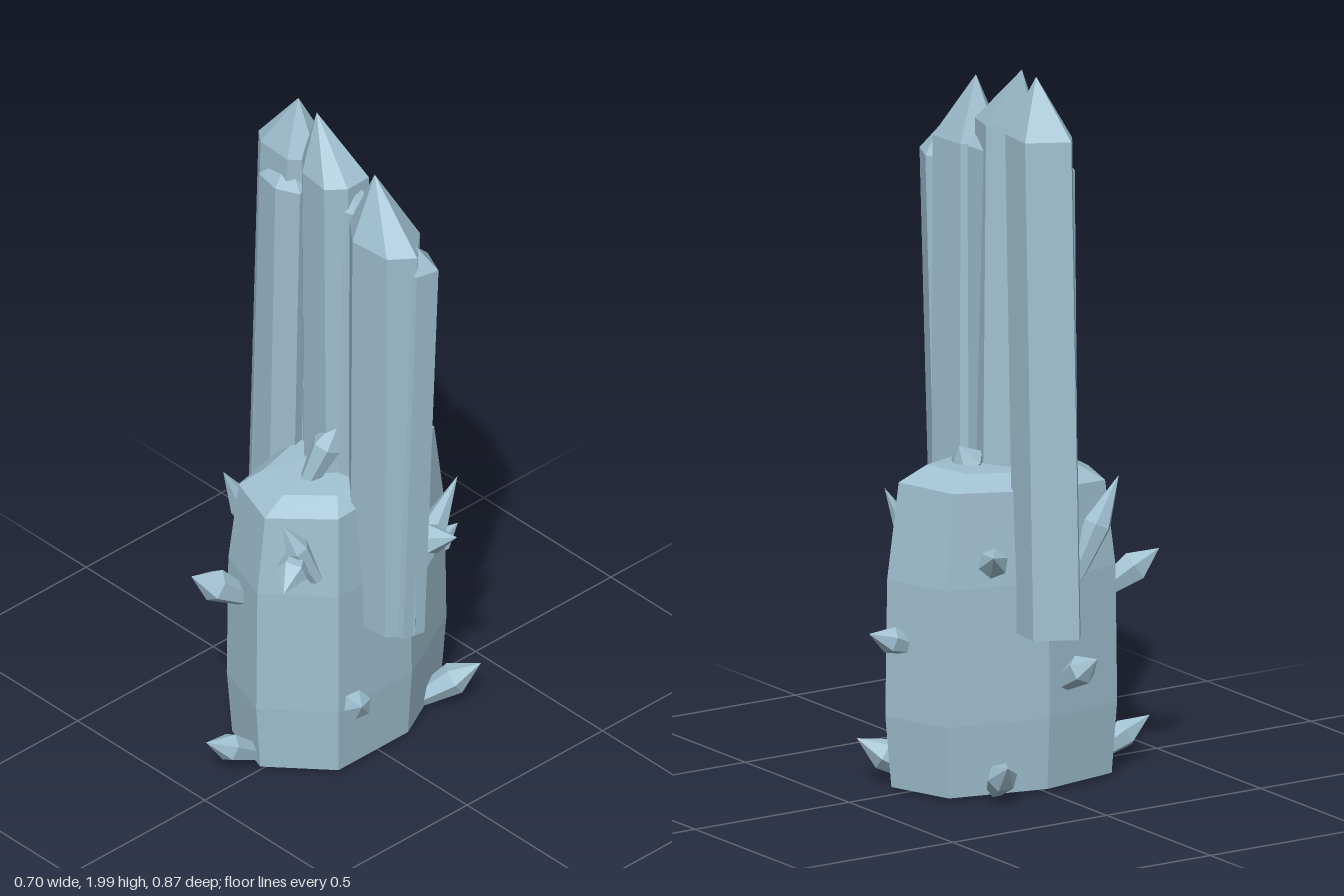
import * as THREE from 'three';

const crystal = new THREE.MeshStandardMaterial({ color: 0x9fbfd0, flatShading: true });
crystal.name = 'paleBlueCrystal';

// Skin a stack of rings (counter-clockwise from above) and close both ends with fans.
function loft(rings, bottom, top) {
  const pos = [];
  const tri = (...pts) => pts.forEach((p) => pos.push(p.x, p.y, p.z));
  const n = rings[0].length;
  const last = rings[rings.length - 1];
  for (let i = 0; i < n; i++) {
    const j = (i + 1) % n;
    tri(bottom, rings[0][j], rings[0][i]);
    for (let k = 0; k < rings.length - 1; k++) {
      const a = rings[k], b = rings[k + 1];
      tri(a[i], a[j], b[j]);
      tri(a[i], b[j], b[i]);
    }
    tri(last[i], last[j], top);
  }
  const geo = new THREE.BufferGeometry();
  geo.setAttribute('position', new THREE.Float32BufferAttribute(pos, 3));
  geo.computeVertexNormals();
  return geo;
}

const v = (x, y, z) => new THREE.Vector3(x, y, z);

function addMesh(group, name, geo) {
  const mesh = new THREE.Mesh(geo, crystal);
  mesh.name = name;
  group.add(mesh);
  return mesh;
}

// Tall leaning prism: outline at the shoulder, slid sideways down to the flat base.
function tallCrystal(group, name, outline, baseY, shoulderY, tip, leanX, leanZ = 0) {
  const topRing = outline.map(([x, z]) => v(x, shoulderY, z));
  const baseRing = outline.map(([x, z]) => v(x - leanX, baseY, z - leanZ));
  const centre = baseRing.reduce((s, p) => s.add(p), v(0, 0, 0)).divideScalar(outline.length);
  addMesh(group, name, loft([baseRing, topRing], centre, v(...tip)));
}

// Small spike: narrow root, widest past the middle, pointed tip.
function spike(group, name, root, tip, r, sides = 6) {
  const a = v(...root), b = v(...tip);
  const len = a.distanceTo(b);
  const ring = (radius, y) => Array.from({ length: sides }, (_, i) => {
    const t = (i / sides) * Math.PI * 2 + 0.3;
    return v(Math.cos(t) * radius, y, -Math.sin(t) * radius);
  });
  const geo = loft([ring(r * 0.55, 0), ring(r, len * 0.58)], v(0, 0, 0), v(0, len, 0));
  const mesh = addMesh(group, name, geo);
  mesh.position.copy(a);
  mesh.quaternion.setFromUnitVectors(v(0, 1, 0), b.sub(a).normalize());
}

export function createModel() {
  const model = new THREE.Group();
  model.name = 'crystalCluster';

  // Stubby seven-sided body with a bevelled top
  const outline = [[0, 0.31], [0.165, 0.16], [0.165, -0.11], [0.04, -0.355],
    [-0.155, -0.29], [-0.225, 0], [-0.18, 0.25]];
  const levels = [[0.02, 0.95], [0.22, 1], [0.6, 0.985], [0.85, 0.89], [0.89, 0.66]];
  const bodyRings = levels.map(([y, s]) => outline.map(([x, z]) =>
    v((x + 0.02) * s - 0.02, y - (y > 0.8 ? z * 0.05 : 0), z * s)));
  addMesh(model, 'body', loft(bodyRings, v(0, 0.02, 0), v(-0.02, 0.9, -0.04)));

  // Row of tall crystals
  const tall = new THREE.Group();
  tall.name = 'tallCrystals';
  model.add(tall);
  tallCrystal(tall, 'leftCrystal',
    [[-0.3, 0.02], [-0.26, 0.05], [-0.15, 0.055], [-0.09, 0], [-0.13, -0.08], [-0.24, -0.09]],
    0.465, 1.84, [-0.175, 2, -0.01], 0.055, 0.01);
  tallCrystal(tall, 'leftSideCrystal',
    [[-0.27, 0.02], [-0.25, 0.065], [-0.17, 0.08], [-0.105, 0.05], [-0.12, -0.04], [-0.24, -0.04]],
    0.465, 1.745, [-0.18, 1.82, 0.02], 0.05, 0.02);
  tallCrystal(tall, 'middleCrystal',
    [[-0.13, 0.02], [-0.08, 0.065], [0.02, 0.078], [0.062, 0.03], [0.06, -0.05], [-0.03, -0.075]],
    0.47, 1.84, [-0.092, 2, 0], 0.01, 0.02);
  tallCrystal(tall, 'middleSideCrystal',
    [[-0.04, 0.02], [0.02, 0.045], [0.085, 0.03], [0.095, -0.03], [0.06, -0.075], [-0.03, -0.07]],
    0.47, 1.765, [0.04, 1.84, -0.02], 0.01);
  tallCrystal(tall, 'rightCrystal',
    [[0.08, 0.04], [0.155, 0.1], [0.28, 0.09], [0.33, 0.025], [0.25, -0.06], [0.13, -0.05]],
    0.46, 1.75, [0.152, 1.93, 0.015], 0.04, 0.03);
  tallCrystal(tall, 'rightSideCrystal',
    [[0.22, 0.01], [0.27, 0.04], [0.335, 0.03], [0.35, -0.035], [0.27, -0.07], [0.22, -0.05]],
    0.46, 1.69, [0.3, 1.76, 0], 0.055);

  // Small spikes: root, tip, radius
  const spikes = new THREE.Group();
  spikes.name = 'smallSpikes';
  model.add(spikes);
  [
    ['frontLowSpike', [-0.035, 0.03, 0.26], [-0.07, 0.13, 0.43], 0.04],
    ['frontMiddleSpike', [-0.1, 0.51, 0.25], [-0.16, 0.62, 0.4], 0.047],
    ['frontHighSpike', [0.05, 0.73, 0.19], [0.14, 0.69, 0.34], 0.045],
    ['frontUprightSpike', [0.11, 0.65, 0.19], [0.06, 0.84, 0.27], 0.035],
    ['leftUprightSpike', [-0.18, 0.55, 0.09], [-0.21, 0.86, 0.235], 0.04],
    ['leftMiddleSpike', [-0.19, 0.3, 0.06], [-0.315, 0.39, 0.095], 0.042],
    ['leftLowSpike', [-0.17, 0.03, -0.14], [-0.32, 0.13, -0.2], 0.042],
    ['leftHighSpike', [-0.16, 0.64, -0.14], [-0.31, 0.72, -0.24], 0.042],
    ['backMiddleSpike', [-0.01, 0.41, -0.28], [0, 0.47, -0.435], 0.038],
    ['backLowSpike', [0.07, 0.03, -0.22], [0.17, 0.13, -0.36], 0.045],
    ['rightLongSpike', [0.14, 0.46, -0.09], [0.185, 0.81, -0.26], 0.04],
    ['rightHighSpike', [0.13, 0.65, -0.09], [0.3, 0.72, -0.15], 0.045],
    ['rightLowSpike', [0.14, 0.21, 0.09], [0.24, 0.27, 0.145], 0.04],
    ['topFrontSpike', [-0.02, 0.85, 0.11], [0.03, 1.07, 0.02], 0.042],
    ['topBackSpike', [0.01, 0.84, -0.08], [-0.01, 0.955, -0.15], 0.05],
  ].forEach((s) => spike(spikes, ...s));

  return model;
}
